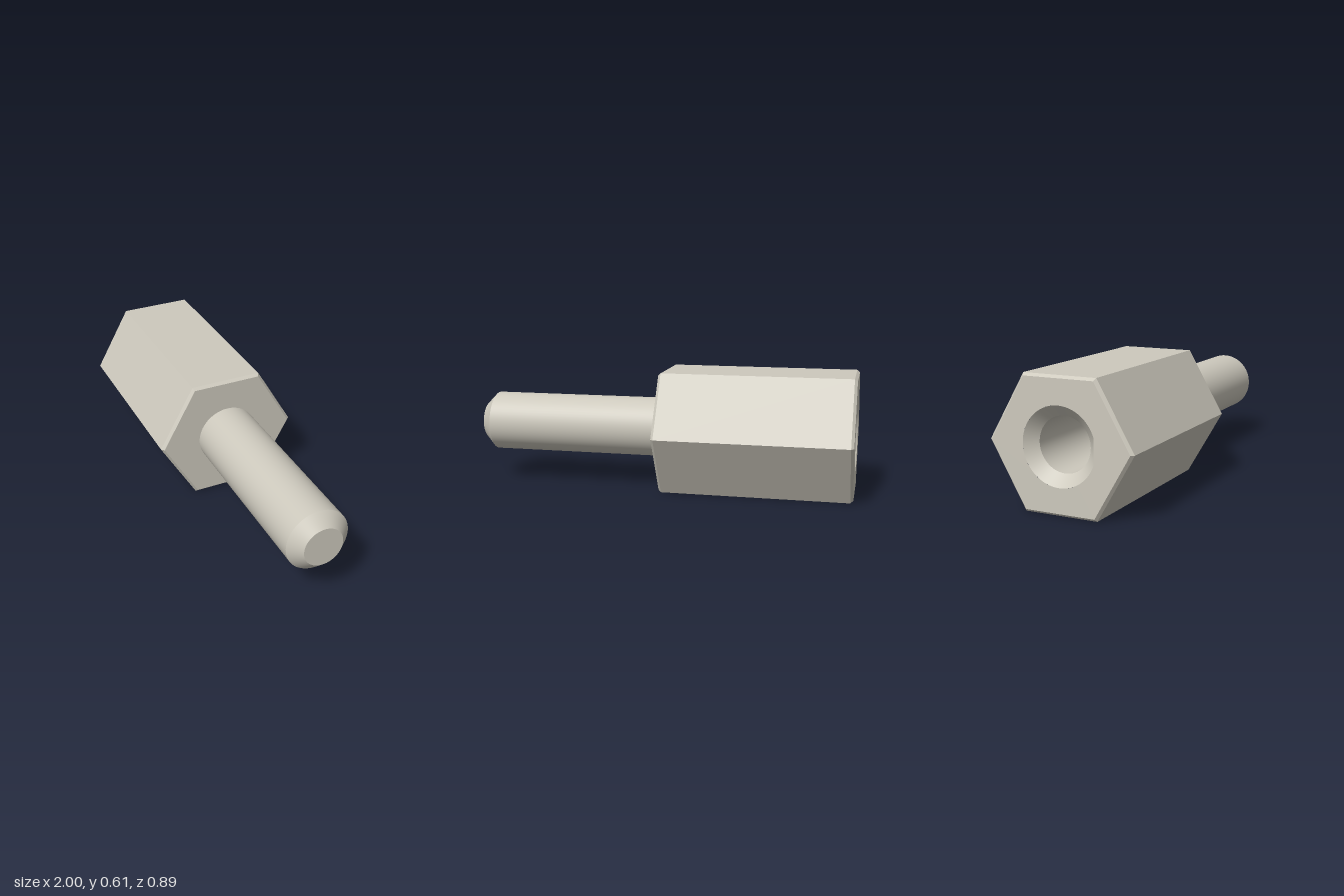
import * as THREE from 'three';
import { mergeGeometries } from 'three/addons/utils/BufferGeometryUtils.js';

// Revolve a profile of [radius, y] points, keeping a sharp edge at every point.
// Rising profiles face outward, falling ones inward.
function turned(profile, sides, flat = false) {
  const bands = [];
  for (let i = 0; i < profile.length - 1; i++) {
    const pts = [profile[i], profile[i + 1]].map(([r, y]) => new THREE.Vector2(r, y));
    let g = new THREE.LatheGeometry(pts, sides).toNonIndexed();
    if (flat) g.computeVertexNormals();
    else g.normalizeNormals();
    bands.push(g);
  }
  return mergeGeometries(bands);
}

export function createModel() {
  const metal = new THREE.MeshStandardMaterial({ color: 0xcdc9bd });
  metal.name = 'satin metal';

  const L = 0.976;                 // length of hex body and of stud
  const R = 0.352, bevel = 0.014;  // hex corner radius and edge bevel
  const rStud = 0.152, tip = 0.057;
  const rHole = 0.126, sink = 0.052;

  const standoff = new THREE.Group();
  standoff.name = 'standoff';
  const add = (name, geometry) => {
    const mesh = new THREE.Mesh(geometry, metal);
    mesh.name = name;
    standoff.add(mesh);
  };

  // Hexagonal body with bevelled ends, closed at the stud end
  add('hexBody', turned([
    [R - bevel, 0], [R, bevel], [R, L - bevel], [R - bevel, L], [0, L],
  ], 6, true));

  // Hexagonal end face with the socket opening
  const face = new THREE.Shape();
  for (let i = 0; i < 6; i++) {
    const a = i * Math.PI / 3;
    const x = (R - bevel) * Math.sin(a), y = (R - bevel) * Math.cos(a);
    if (i) face.lineTo(x, y);
    else face.moveTo(x, y);
  }
  face.closePath();
  const opening = new THREE.Path();
  opening.absarc(0, 0, rHole + sink, 0, Math.PI * 2, true);
  face.holes.push(opening);
  add('socketFace', new THREE.ShapeGeometry(face, 48).rotateX(Math.PI / 2));

  // Countersunk blind socket
  add('socket', turned([
    [0, 0.7], [rHole, 0.7], [rHole, sink], [rHole + sink, 0],
  ], 64));

  // Round stud with chamfered tip
  add('stud', turned([
    [rStud, L], [rStud, 2 * L - tip], [rStud - tip, 2 * L], [0, 2 * L],
  ], 64));

  // Lay the axis along x, centred, then swing it toward the front
  standoff.rotation.z = -Math.PI / 2;
  standoff.position.x = -L;
  const model = new THREE.Group();
  model.name = 'hexStandoff';
  const swing = new THREE.Group();
  swing.name = 'swungAxis';
  swing.add(standoff);
  swing.rotation.y = -12 * Math.PI / 180;
  swing.position.set(0.025, R * Math.cos(Math.PI / 6), 0.103);
  model.add(swing);
  return model;
}
